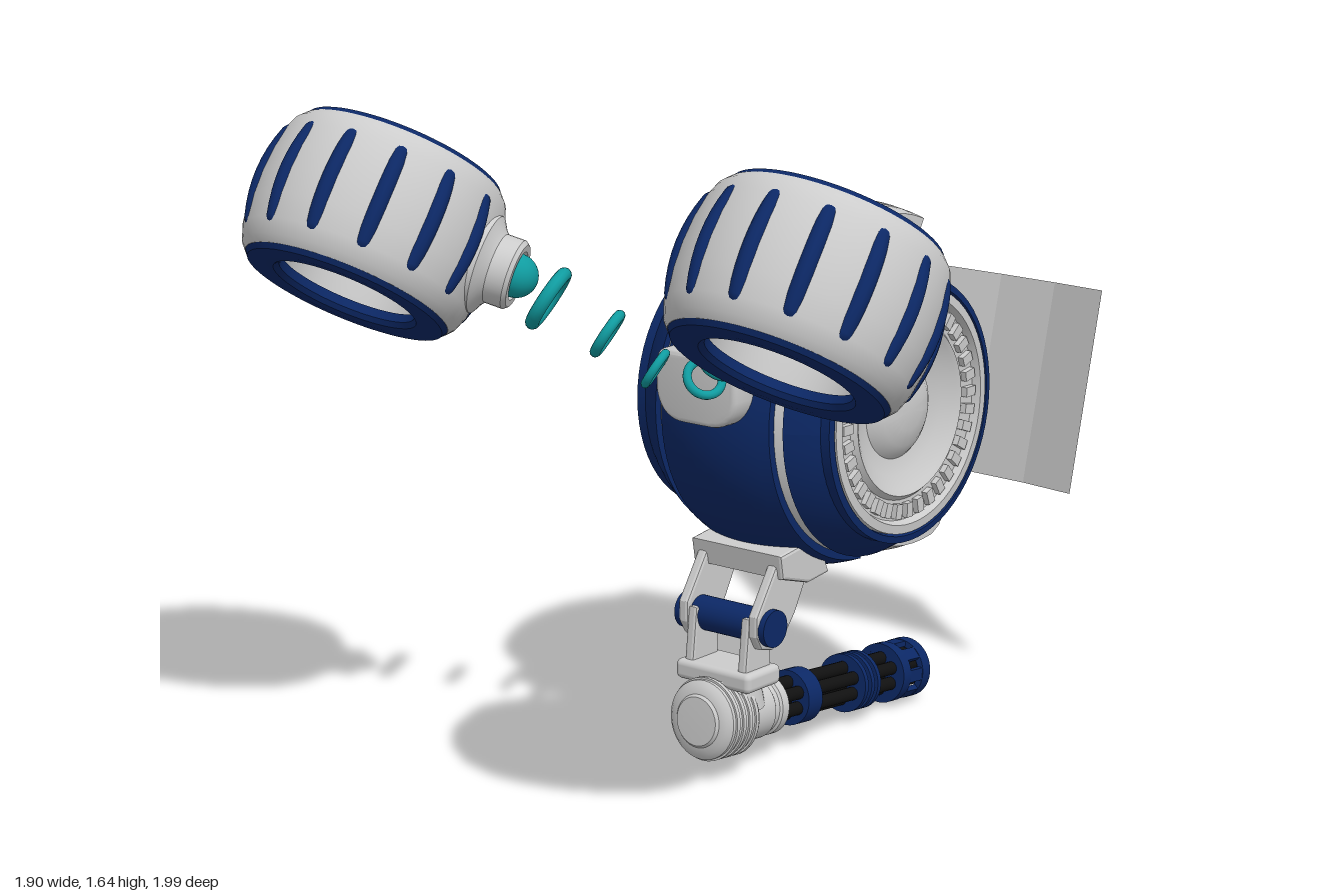
import * as THREE from 'three';
import { toCreasedNormals } from 'three/addons/utils/BufferGeometryUtils.js';
import { RoundedBoxGeometry } from 'three/addons/geometries/RoundedBoxGeometry.js';

const mat = (color, side = THREE.FrontSide) => new THREE.MeshStandardMaterial({ color, side });
const grey = mat(0xcccccc), blue = mat(0x0c2866), teal = mat(0x109ca0), dark = mat(0x111111);
const rad = THREE.MathUtils.degToRad;
const UP = new THREE.Vector3(0, 1, 0), FWD = new THREE.Vector3(0, 0, 1);

function add(parent, name, geometry, material, x = 0, y = 0, z = 0) {
  const mesh = new THREE.Mesh(geometry, material);
  mesh.name = name;
  mesh.position.set(x, y, z);
  parent.add(mesh);
  return mesh;
}

function group(parent, name, x = 0, y = 0, z = 0) {
  const g = new THREE.Group();
  g.name = name;
  g.position.set(x, y, z);
  parent.add(g);
  return g;
}

const lathe = (pts, seg = 64) =>
  toCreasedNormals(new THREE.LatheGeometry(pts.map(p => new THREE.Vector2(...p)), seg), 0.6);

// Curved armour plate on a sphere: x range, angle range (degrees, 0 = front, 90 = top),
// outer radius as a function of 0..1 along the angle range.
function shell(x0, x1, a0, a1, outer, inner = 0.38) {
  const g = new THREE.BoxGeometry(1, 1, 1, 12, 1, Math.ceil((a1 - a0) / 5));
  const p = g.attributes.position;
  for (let i = 0; i < p.count; i++) {
    const x = THREE.MathUtils.lerp(x0, x1, p.getX(i) + 0.5);
    const t = 0.5 - p.getZ(i), a = rad(a0 + (a1 - a0) * t);
    const R = p.getY(i) > 0 ? outer(t) : inner;
    const r = Math.sqrt(R * R - x * x);
    p.setXYZ(i, x, r * Math.sin(a), r * Math.cos(a));
  }
  g.computeVertexNormals();
  return g;
}

// Flat plate outlined in (z, y), with its thickness along x
function plate(pts, width) {
  const shape = new THREE.Shape(pts.map(p => new THREE.Vector2(...p)));
  const b = 0.008;
  const g = new THREE.ExtrudeGeometry(shape, {
    depth: width - 2 * b, bevelThickness: b, bevelSize: b, bevelOffset: -b, bevelSegments: 2 });
  return g.translate(0, 0, b - width / 2).rotateY(-Math.PI / 2);
}

function buildBody(root) {
  const body = group(root, 'body', 0, 0.885, -0.18);
  const core = [];
  for (let i = 0; i <= 20; i++) {
    const h = -0.275 + 0.0275 * i;
    core.push([Math.sqrt(0.405 ** 2 - h * h), h]);
  }
  add(body, 'core', lathe(core), grey).rotation.z = -Math.PI / 2;
  const flat = () => 0.422;
  add(body, 'frontArmour', shell(-0.165, 0.165, -86, 60, flat), blue);
  add(body, 'backArmour', shell(-0.235, 0.235, 142, 215, () => 0.428), blue);

  // Top cowl with three raised ridges flaring to the back
  add(body, 'topCowl', shell(-0.175, 0.175, 58, 128, t => 0.424 + 0.045 * t), grey);
  for (const [a, b] of [[-0.145, -0.095], [-0.08, 0.08], [0.095, 0.145]])
    add(body, 'cowlRidge', shell(a, b, 64, 121, t => 0.43 + 0.075 * t), grey);
  add(body, 'cowlLamp', new THREE.SphereGeometry(0.042, 24, 16), blue, 0, 0.37, -0.28);

  // Lower rear fin
  add(body, 'rearFin', shell(-0.2, 0.2, 216, 268,
    t => 0.42 + 0.065 * Math.max(0, 1 - Math.abs(t - 0.4) / 0.5)), grey);

  // Front socket with a rounded bottom
  const d = new THREE.Shape();
  d.moveTo(-0.09, 0.07).lineTo(0.09, 0.07).quadraticCurveTo(0.11, 0.07, 0.11, 0.04)
    .lineTo(0.11, -0.02).quadraticCurveTo(0.1, -0.08, 0.04, -0.08)
    .lineTo(-0.04, -0.08).quadraticCurveTo(-0.1, -0.08, -0.11, -0.02)
    .lineTo(-0.11, 0.04).quadraticCurveTo(-0.11, 0.07, -0.09, 0.07);
  const socket = new THREE.ExtrudeGeometry(d, { depth: 0.09, bevelThickness: 0.012, bevelSize: 0.012, bevelSegments: 3, curveSegments: 10 });
  add(body, 'frontSocket', toCreasedNormals(socket, 0.6), grey, 0, 0.1, 0.36);

  for (const s of [-1, 1]) {
    add(body, 'sideBand', shell(s > 0 ? 0.195 : -0.27, s > 0 ? 0.27 : -0.195, 0, 360, flat), blue);
    const hub = group(body, 'sideHub');
    hub.rotation.z = -s * Math.PI / 2;
    add(hub, 'hubRim', lathe([[0.3, 0.255], [0.325, 0.265], [0.325, 0.295], [0.308, 0.298], [0.3, 0.27]]), blue);
    add(hub, 'hubDish', lathe([[0.305, 0.27], [0.302, 0.298], [0.28, 0.3], [0.272, 0.28], [0.222, 0.278],
      [0.21, 0.292], [0.198, 0.285], [0.165, 0.262], [0.125, 0.252], [0.115, 0.262], [0.09, 0.279],
      [0.05, 0.29], [0, 0.293]]), grey);
    for (let i = 0; i < 36; i++) {
      const a = i / 36 * Math.PI * 2;
      const tooth = add(hub, 'hubTooth', new THREE.BoxGeometry(0.024, 0.02, 0.036), grey,
        0.248 * Math.sin(a), 0.284, 0.248 * Math.cos(a));
      tooth.rotation.y = a;
    }
  }
}

// Ring-shaped hand pod, tilted, with ribs all round and a wrist mount facing the body
function buildPod(root, s) {
  const pod = group(root, s > 0 ? 'leftPod' : 'rightPod', s * 0.645, 1.357, 0.68);
  pod.rotation.x = -0.607;
  const half = [[0.296, 0], [0.293, 0.06], [0.283, 0.12], [0.27, 0.155], [0.255, 0.172], [0.2, 0.172],
    [0.178, 0.16], [0.17, 0.1], [0.166, 0]];
  const profile = [...half.slice(1).reverse().map(([r, h]) => [r, -h]), ...half];
  add(pod, 'podShell', lathe(profile), grey);
  for (const e of [-1, 1]) {
    const ring = add(pod, 'podEndRing', lathe([[0.25, 0.15], [0.254, 0.172], [0.245, 0.184], [0.21, 0.187],
      [0.18, 0.184], [0.17, 0.172], [0.172, 0.15]]), blue);
    if (e < 0) ring.rotation.x = Math.PI;
  }
  for (let i = 0; i < 14; i++) {
    if (i === 5) continue; // the mount sits here
    const a = -s * rad(-8 + i * 360 / 14);
    const rib = new THREE.CapsuleGeometry(0.021, 0.23, 6, 12, 8);
    const p = rib.attributes.position;
    for (let k = 0; k < p.count; k++) p.setZ(k, p.getZ(k) + 0.287 - 1.4 * p.getY(k) ** 2);
    rib.computeVertexNormals();
    add(pod, 'podRib', rib, blue).rotation.y = a;
  }
  const wrist = group(pod, 'wrist');
  wrist.quaternion.setFromUnitVectors(UP, new THREE.Vector3(-s * Math.cos(rad(31)), 0, -Math.sin(rad(31))));
  add(wrist, 'wristMount', lathe([[0.125, 0.255], [0.12, 0.285], [0.095, 0.3], [0.085, 0.31], [0.085, 0.355],
    [0.077, 0.365], [0.06, 0.365], [0.055, 0.34], [0, 0.335]], 32), grey);
  add(wrist, 'wristBall', new THREE.SphereGeometry(0.053, 24, 16), teal, 0, 0.36, 0);

  // Floating rings that form the arm
  const axis = new THREE.Vector3(s * 0.75, 0.54, 0.4).normalize();
  for (const [x, y, z, r] of [[0.297, 1.19, 0.46, 0.068], [0.175, 1.11, 0.39, 0.052], [0.075, 1.03, 0.335, 0.043]])
    add(root, 'armRing', new THREE.TorusGeometry(r, r * 0.25, 12, 36), teal, s * x, y, z)
      .quaternion.setFromUnitVectors(FWD, axis);
}

function buildLeg(root) {
  const leg = group(root, 'leg');
  add(leg, 'hipBlock', plate([[0.13, 0.56], [0.12, 0.5], [0.02, 0.47], [-0.06, 0.48], [-0.02, 0.58]], 0.28), grey);
  for (const s of [-1, 1]) {
    add(leg, 'upperStrut', plate([[0.12, 0.54], [0.0, 0.49], [0.05, 0.4], [0.095, 0.345], [0.14, 0.325],
      [0.18, 0.335], [0.2, 0.37], [0.2, 0.42]], 0.03), grey, s * 0.108, 0, 0);
    add(leg, 'lowerStrut', plate([[0.195, 0.41], [0.115, 0.41], [0.11, 0.24], [0.215, 0.24]], 0.028), grey, s * 0.082, 0, 0);
    const cap = add(leg, 'kneeCap', new THREE.CylinderGeometry(0.046, 0.046, 0.03, 32), blue, s * 0.124, 0.385, 0.15);
    cap.rotation.z = Math.PI / 2;
  }
  const pin = add(leg, 'kneePin', new THREE.CylinderGeometry(0.042, 0.042, 0.2, 32), blue, 0, 0.385, 0.15);
  pin.rotation.z = Math.PI / 2;
  add(leg, 'ankleBlock', new RoundedBoxGeometry(0.23, 0.05, 0.13, 3, 0.015), grey, 0, 0.255, 0.16);
  add(leg, 'ankleNeck', new THREE.CylinderGeometry(0.075, 0.09, 0.08, 32), grey, 0, 0.21, 0.16);
}

// Rotary blaster: local +y runs towards the muzzle at the back
function buildBlaster(root) {
  const gun = group(root, 'blaster', 0, 0.15, 0.2);
  gun.rotation.x = -Math.PI / 2 - 0.09;
  const disc = (name, r, y, h, m) => add(gun, name, new THREE.CylinderGeometry(r, r, h, 36), m, 0, y, 0);
  add(gun, 'housing', lathe([[0, -0.085], [0.06, -0.083], [0.066, -0.076], [0.085, -0.072], [0.098, -0.06],
    [0.098, 0.04], [0.085, 0.055], [0.078, 0.06], [0.078, 0.13], [0.07, 0.14], [0.07, 0.155], [0.076, 0.16],
    [0.076, 0.185], [0.06, 0.2], [0, 0.2]], 40), grey);
  for (let i = 0; i < 4; i++) disc('housingRib', 0.103, -0.045 + i * 0.024, 0.011, grey);
  disc('barrelCore', 0.018, 0.46, 0.54, dark);
  for (let i = 0; i < 6; i++) {
    const a = i / 6 * Math.PI * 2;
    add(gun, 'barrel', new THREE.CylinderGeometry(0.017, 0.017, 0.57, 14), dark, 0.04 * Math.sin(a), 0.47, 0.04 * Math.cos(a));
  }
  disc('barrelClamp', 0.07, 0.3, 0.055, blue);
  for (let i = 0; i < 3; i++) disc('barrelBand', 0.075, 0.505 + i * 0.026, 0.013, blue);

  // Muzzle drum: two open rings joined by bars
  const ring = lathe([[0.06, -0.016], [0.077, -0.016], [0.077, 0.016], [0.06, 0.016], [0.06, -0.016]], 36);
  add(gun, 'muzzleBase', ring, blue, 0, 0.675, 0);
  add(gun, 'muzzleRim', ring, blue, 0, 0.757, 0);
  disc('muzzlePlate', 0.062, 0.67, 0.02, blue);
  for (let i = 0; i < 8; i++) {
    const a = i / 8 * Math.PI * 2;
    add(gun, 'muzzleBar', new THREE.BoxGeometry(0.032, 0.1, 0.014), blue,
      0.068 * Math.sin(a), 0.716, 0.068 * Math.cos(a)).rotation.y = a;
  }
}

// Thin curved panel floating behind the body
function buildPanel(root) {
  const g = new THREE.PlaneGeometry(0.72, 1, 4, 1);
  const p = g.attributes.position;
  for (let i = 0; i < p.count; i++) {
    const u = p.getX(i) / 0.36, top = p.getY(i) > 0;
    const bulge = 0.07 * (1 - u * u);
    p.setY(i, (top ? 1.06 : 0.552) - 0.22 * bulge);
    p.setZ(i, (top ? -0.93 : -0.8) - bulge);
  }
  const flat = g.toNonIndexed();
  flat.computeVertexNormals();
  add(root, 'backPanel', flat, mat(0xcccccc, THREE.DoubleSide), -0.018, 0, 0);
}

export function createModel() {
  const model = new THREE.Group();
  model.name = 'model';
  const root = group(model, 'robot', -0.012, 0, 0);
  buildBody(root);
  for (const s of [-1, 1]) buildPod(root, s);
  buildLeg(root);
  buildBlaster(root);
  buildPanel(root);
  return model;
}
